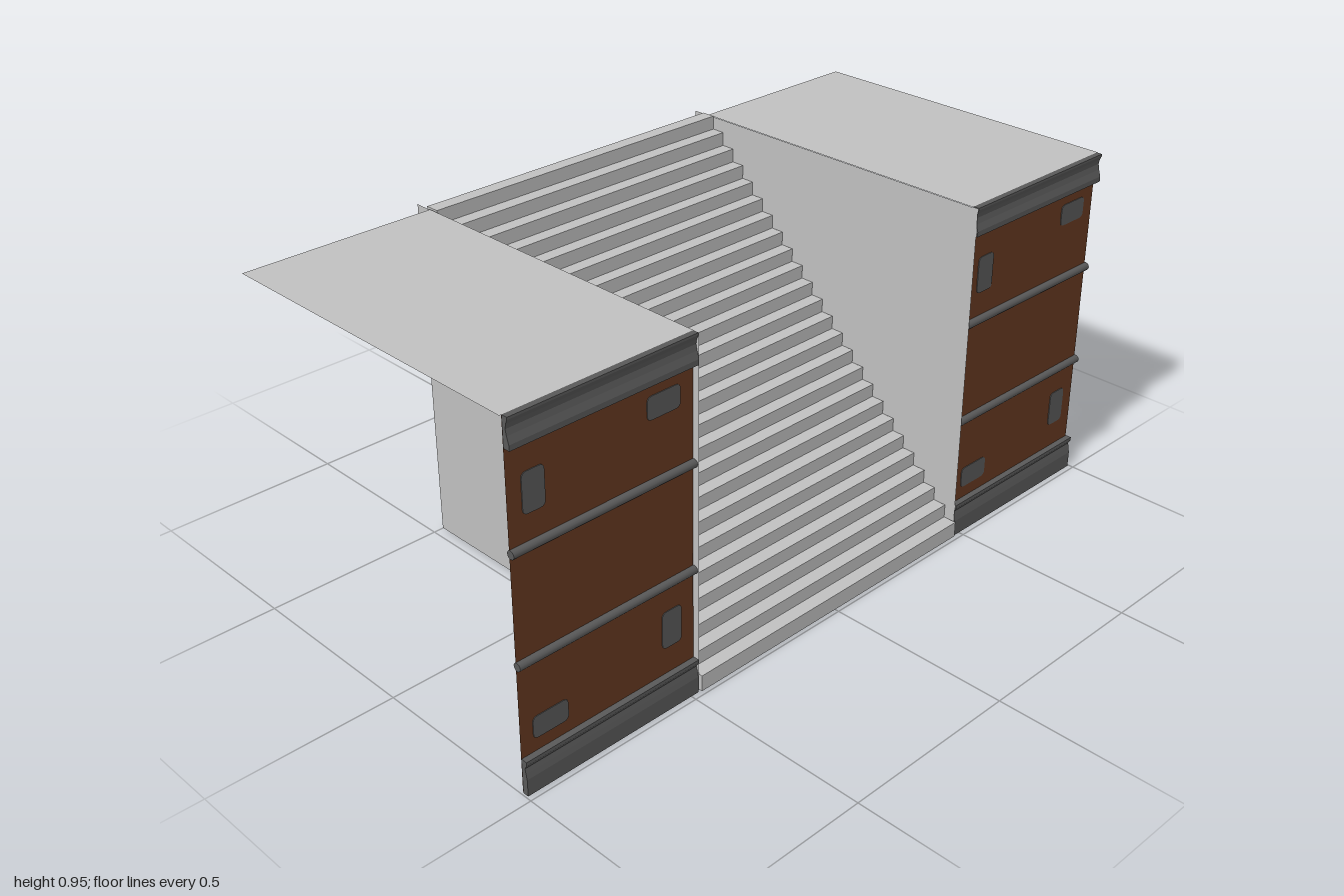
import * as THREE from 'three';

export function createModel() {
  const model = new THREE.Group();
  model.name = 'stairway';

  const concrete = new THREE.MeshStandardMaterial({ color: 0xc0c0c0, side: THREE.DoubleSide });
  concrete.name = 'concrete';
  const brown = new THREE.MeshStandardMaterial({ color: 0x653820, side: THREE.DoubleSide });
  brown.name = 'brownPanel';
  const metal = new THREE.MeshStandardMaterial({ color: 0x595959 });
  metal.name = 'darkMetal';

  const add = (parent, name, geometry, material, x = 0, y = 0, z = 0) => {
    const mesh = new THREE.Mesh(geometry, material);
    mesh.name = name;
    mesh.position.set(x, y, z);
    parent.add(mesh);
    return mesh;
  };
  const shapeOf = (points) => new THREE.Shape(points.map(([x, y]) => new THREE.Vector2(x, y)));
  // Extrudes an x-y profile along z, centred on z = 0
  const extrudeZ = (shape, length) =>
    new THREE.ExtrudeGeometry(shape, { depth: length, bevelEnabled: false, curveSegments: 4 })
      .translate(0, 0, -length / 2);

  // Flight of steps, with a blocky stepped underside
  const steps = 25;
  const front = 0.492;
  const back = -0.46;
  const base = 0.004;
  const first = 0.048;
  const run = (front - back) / steps;
  const rise = (0.946 - first) / (steps - 1);
  const outline = [[0.16, base], [front, base]];
  for (let i = 0; i < steps; i++) {
    const y = first + i * rise;
    outline.push([front - i * run, y], [front - (i + 1) * run, y]);
  }
  outline.push([back, 0.62], [-0.17, 0.62], [-0.17, 0.32], [0.16, 0.32]);
  add(model, 'steps', extrudeZ(shapeOf(outline), 0.944), concrete);

  // Moulding profiles, measured outward from the panel
  const cornice = [[0, 0.868], [0.018, 0.868], [0.018, 0.882], [0.012, 0.9],
    [0.009, 0.915], [0.011, 0.927], [0.016, 0.938], [0.016, 0.944], [0, 0.944]];
  const skirting = [[0, 0], [0.016, 0], [0.016, 0.045], [0.013, 0.06],
    [0.01, 0.073], [0.017, 0.085], [0.017, 0.094], [0, 0.094]];

  // Rounded plate lying in the z-y plane, showing on both sides of the panel
  const plate = (w, h) => {
    const r = 0.014;
    const a = w / 2;
    const b = h / 2;
    const s = new THREE.Shape();
    s.moveTo(-a + r, -b);
    s.lineTo(a - r, -b);
    s.quadraticCurveTo(a, -b, a, -b + r);
    s.lineTo(a, b - r);
    s.quadraticCurveTo(a, b, a - r, b);
    s.lineTo(-a + r, b);
    s.quadraticCurveTo(-a, b, -a, b - r);
    s.lineTo(-a, -b + r);
    s.quadraticCurveTo(-a, -b, -a + r, -b);
    return extrudeZ(s, 0.004).rotateY(Math.PI / 2);
  };
  const plates = [
    [0.19, 0.745, 0.06, 0.1],
    [-0.172, 0.804, 0.097, 0.058],
    [0.173, 0.156, 0.1, 0.058],
    [-0.19, 0.214, 0.06, 0.1],
  ];

  const panelX = 0.468;
  const panelLength = 0.518;
  for (const side of [1, -1]) {
    const name = side > 0 ? 'front' : 'rear';

    // Side wall of the stairwell
    add(model, name + 'Wall', new THREE.PlaneGeometry(0.979, 0.937), concrete, -0.0055, 0.4735, side * 0.475);

    // Flat platform beside the stairs
    add(model, name + 'Platform', new THREE.PlaneGeometry(0.913, 0.525).rotateX(-Math.PI / 2), concrete,
      0.0115, 0.943, side * 0.7375);

    // Decorated brown panel
    const panel = new THREE.Group();
    panel.name = name + 'Panel';
    panel.position.set(panelX, 0, side * 0.736);
    model.add(panel);
    add(panel, 'panelFace', new THREE.PlaneGeometry(panelLength, 0.938).rotateY(Math.PI / 2), brown, 0, 0.473, 0);
    add(panel, 'cornice', extrudeZ(shapeOf(cornice), panelLength), metal, 0.001);
    add(panel, 'skirting', extrudeZ(shapeOf(skirting), panelLength), metal, 0.001);
    for (const y of [0.62, 0.34]) {
      add(panel, 'rail', new THREE.CylinderGeometry(0.011, 0.011, panelLength, 12).rotateX(Math.PI / 2),
        metal, 0.004, y, 0);
    }
    for (const [z, y, w, h] of plates) add(panel, 'plate', plate(w, h), metal, 0, y, z);
  }

  return model;
}
